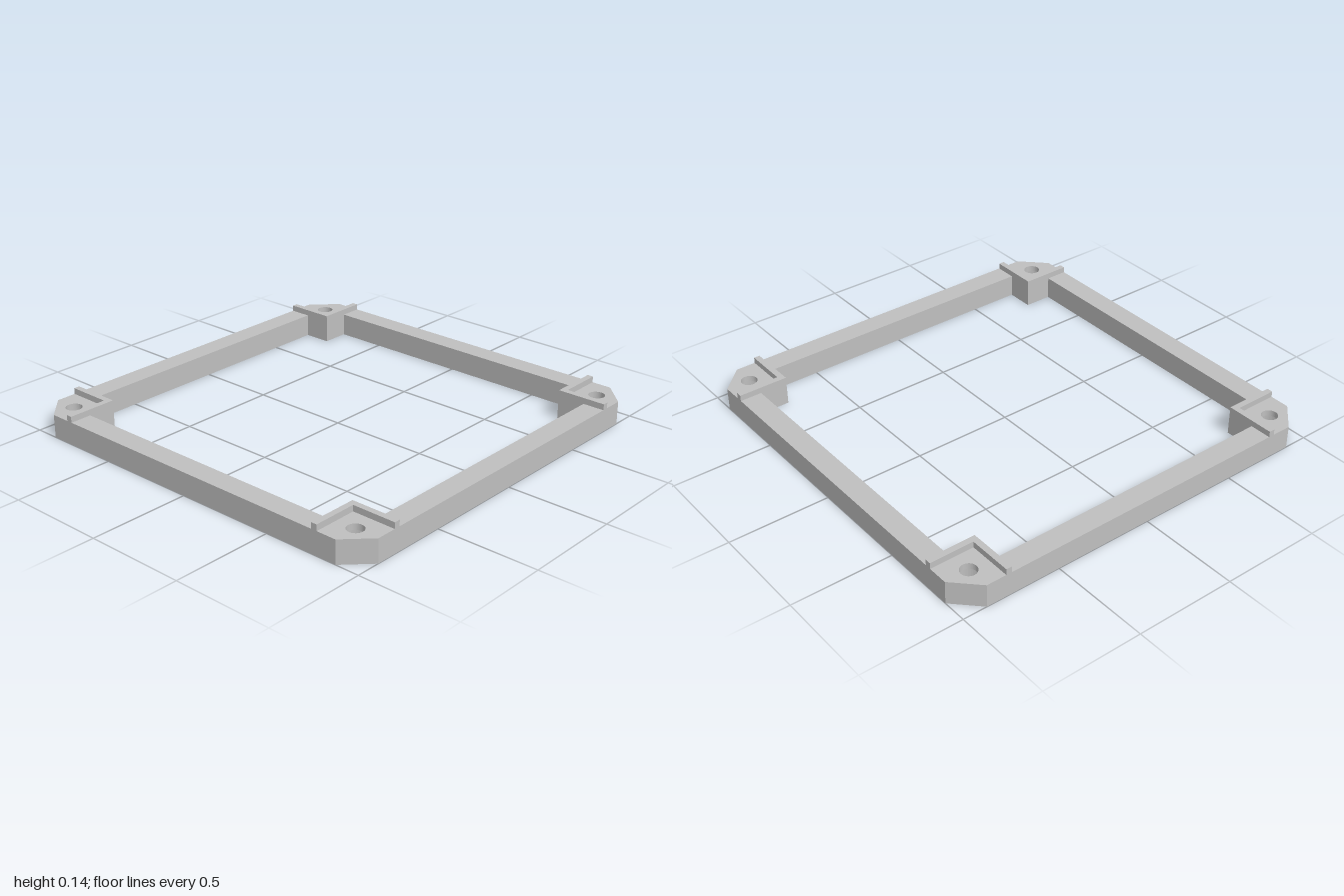
import * as THREE from 'three';

const HEIGHT = 0.115, LEDGE = 0.085, RIDGE_TOP = 0.145;
const BLOCK = 0.75, RIDGE = 0.78, RAIL = 0.89, HOLE = 0.88, CHAMFER = 0.88;

// Repeats one corner's points around all four corners by quarter turns
function fourCorners(points) {
  const out = [];
  for (let i = 0; i < 4; i++) {
    for (const [x, y] of points) {
      const [c, s] = [[1, 0], [0, 1], [-1, 0], [0, -1]][i];
      out.push(new THREE.Vector2(x * c - y * s, x * s + y * c));
    }
  }
  return out;
}

// Square frame outline with chamfered corners, inner corner blocks and round holes
function frameShape(holeRadius) {
  const shape = new THREE.Shape(fourCorners([[1, CHAMFER], [CHAMFER, 1]]));
  shape.holes.push(new THREE.Path(fourCorners([[RAIL, BLOCK], [BLOCK, BLOCK], [BLOCK, RAIL]])));
  for (const sx of [-1, 1]) {
    for (const sy of [-1, 1]) {
      shape.holes.push(new THREE.Path().absarc(sx * HOLE, sy * HOLE, holeRadius, 0, Math.PI * 2, true));
    }
  }
  return shape;
}

function slab(shape, bottom, top) {
  const geometry = new THREE.ExtrudeGeometry(shape, {
    depth: top - bottom, bevelEnabled: false, curveSegments: 32,
  });
  return geometry.rotateX(-Math.PI / 2).translate(0, bottom, 0);
}

export function createModel() {
  const model = new THREE.Group();
  model.name = 'squareFrame';
  const grey = new THREE.MeshStandardMaterial({ color: 0xbfbfbf });
  grey.name = 'grey';

  const add = (name, geometry) => {
    const mesh = new THREE.Mesh(geometry, grey);
    mesh.name = name;
    model.add(mesh);
    return mesh;
  };

  // Lower layer with wide counterbores, upper layer with narrow screw holes
  add('lowerFrame', slab(frameShape(0.068), 0, LEDGE));
  add('upperFrame', slab(frameShape(0.04), LEDGE, HEIGHT));

  // L-shaped locating ridge on each corner block
  const ridge = new THREE.Shape([
    [BLOCK, BLOCK], [1, BLOCK], [1, RIDGE], [RIDGE, RIDGE], [RIDGE, 1], [BLOCK, 1],
  ].map(([x, y]) => new THREE.Vector2(x, y)));
  const ridgeGeometry = slab(ridge, HEIGHT, RIDGE_TOP);
  ['backLeftRidge', 'backRightRidge', 'frontRightRidge', 'frontLeftRidge'].forEach((name, i) => {
    add(name, ridgeGeometry).rotation.y = i * Math.PI / 2;
  });

  return model;
}
